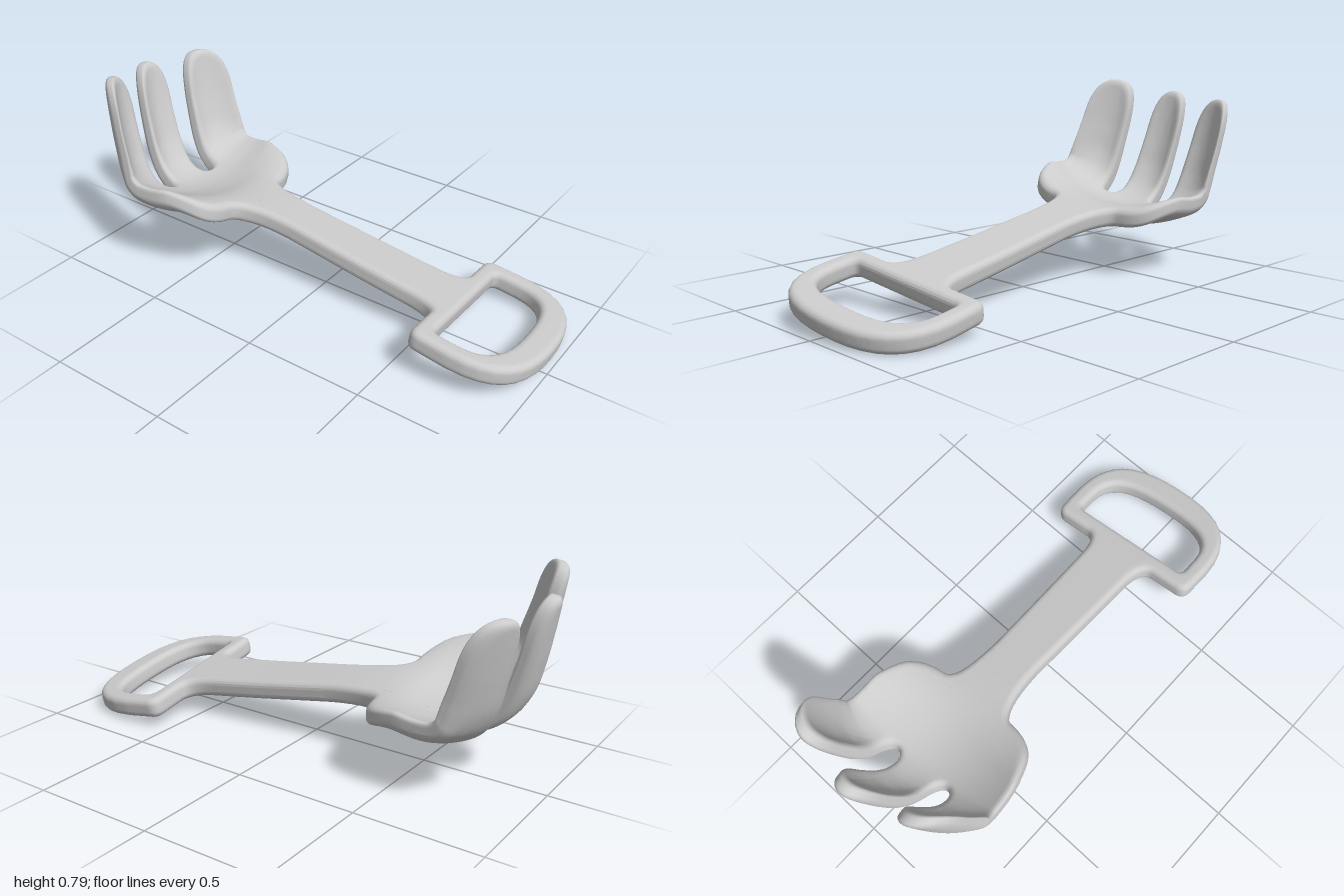
import * as THREE from 'three';
import { mergeVertices } from 'three/addons/utils/BufferGeometryUtils.js';

const TIP = 1.31; // unfolded outline runs from v = -1 (grip end) to v = TIP (finger tips)

// Right half of the unfolded outline: grip, shaft, palm, outer finger, gap, half middle finger
function outline() {
  const p = new THREE.Path();
  p.moveTo(0, -1);
  p.bezierCurveTo(0.2, -1, 0.352, -0.95, 0.352, -0.72);
  p.lineTo(0.348, -0.61);
  p.quadraticCurveTo(0.348, -0.56, 0.3, -0.56);
  p.lineTo(0.18, -0.56);
  p.quadraticCurveTo(0.125, -0.56, 0.12, -0.45);
  p.lineTo(0.107, 0.12);
  p.quadraticCurveTo(0.112, 0.36, 0.18, 0.36);
  p.bezierCurveTo(0.3, 0.37, 0.372, 0.43, 0.372, 0.6);
  p.lineTo(0.378, 0.8);
  p.lineTo(0.365, 1.13);
  p.bezierCurveTo(0.36, 1.25, 0.335, TIP, 0.272, TIP);
  p.bezierCurveTo(0.21, TIP, 0.185, 1.25, 0.182, 1.13);
  p.lineTo(0.174, 0.8);
  p.bezierCurveTo(0.174, 0.68, 0.088, 0.68, 0.088, 0.8);
  p.lineTo(0.081, 1.13);
  p.bezierCurveTo(0.078, 1.25, 0.055, TIP, 0, TIP);
  return mirrored(p);
}

// Half of the D-shaped opening in the grip
function opening() {
  const p = new THREE.Path();
  p.moveTo(0, -0.885);
  p.bezierCurveTo(0.16, -0.885, 0.275, -0.865, 0.275, -0.73);
  p.lineTo(0.275, -0.66);
  p.quadraticCurveTo(0.275, -0.632, 0.247, -0.632);
  p.lineTo(0, -0.632);
  return mirrored(p);
}

function mirrored(path) {
  const half = path.getPoints(9);
  const other = half.slice(1, -1).reverse().map(q => new THREE.Vector2(-q.x, q.y));
  return half.concat(other);
}

// Halve every edge longer than max, so that the flat faces can be bent smoothly
function subdivide(geometry, max) {
  const pos = geometry.attributes.position;
  const out = [];
  const split = (a, b, c) => {
    const ab = a.distanceToSquared(b), bc = b.distanceToSquared(c), ca = c.distanceToSquared(a);
    const longest = Math.max(ab, bc, ca);
    if (longest <= max * max) {
      out.push(a, b, c);
    } else if (longest === ab) {
      const m = a.clone().add(b).multiplyScalar(0.5);
      split(a, m, c);
      split(m, b, c);
    } else if (longest === bc) {
      split(b, c, a);
    } else {
      split(c, a, b);
    }
  };
  const at = i => new THREE.Vector3().fromBufferAttribute(pos, i);
  for (let i = 0; i < pos.count; i += 3) split(at(i), at(i + 1), at(i + 2));
  return out;
}

// Side profile (z, y) followed by the whole tool
const profile = new THREE.CatmullRomCurve3([
  [1, 0.07], [0.3, 0.179], [-0.3, 0.275], [-0.42, 0.278], [-0.52, 0.255], [-0.62, 0.24],
  [-0.72, 0.25], [-0.81, 0.3], [-0.875, 0.39], [-0.915, 0.51], [-0.943, 0.63], [-0.967, 0.757],
].map(([z, y]) => new THREE.Vector3(0, y, z)));

// Fold a point (x, v, w): follow the profile, curl the sides of the fork up, cup each finger
function bend(p) {
  const u = THREE.MathUtils.clamp((p.y + 1) / (1 + TIP), 0, 1);
  const c = profile.getPointAt(u), t = profile.getTangentAt(u);
  const step = THREE.MathUtils.smoothstep;
  const curl = 0.85 * step(p.y, 0.28, 0.52) + 0.05 * step(p.y, 0.7, 1);
  const thin = 1 - 0.3 * step(p.y, 0.6, 1.2);
  const fromAxis = Math.abs(p.x) > 0.131 ? Math.abs(p.x) - 0.272 : p.x;
  const cup = 3.5 * step(p.y, 0.72, 1) * fromAxis * fromAxis;
  const h = p.z * thin + curl * p.x * p.x + cup;
  const x = p.x - 0.01 * step(p.y, 0.2, 0.6);
  return new THREE.Vector3(x, c.y - t.z * h, c.z + t.y * h);
}

export function createModel() {
  const shape = new THREE.Shape(outline());
  shape.holes.push(new THREE.Path(opening()));
  const slab = new THREE.ExtrudeGeometry(shape, {
    depth: 0.03, bevelThickness: 0.026, bevelSize: 0.026, bevelOffset: -0.026, bevelSegments: 4,
  });
  slab.translate(0, 0, -0.015);

  // Bend the finely divided slab, with one set of smooth normals for all parts
  const flat = subdivide(slab, 0.03);
  const bent = mergeVertices(new THREE.BufferGeometry().setFromPoints(flat.map(bend)), 1e-5);
  bent.computeVertexNormals();

  // Cut it into named parts along its length
  const parts = { grip: [], shaft: [], fork: [] };
  for (let i = 0; i < flat.length; i += 3) {
    const v = (flat[i].y + flat[i + 1].y + flat[i + 2].y) / 3;
    const part = v < -0.55 ? 'grip' : v < 0.33 ? 'shaft' : 'fork';
    for (let k = i; k < i + 3; k++) parts[part].push(bent.index.getX(k));
  }
  const material = new THREE.MeshStandardMaterial({ color: 0xcccccc });
  const rake = new THREE.Group();
  rake.name = 'handRake';
  for (const [name, index] of Object.entries(parts)) {
    const mesh = new THREE.Mesh(bent.clone().setIndex(index).toNonIndexed(), material);
    mesh.name = name;
    rake.add(mesh);
  }

  // The tool lies slightly rolled and turned; rest it on the ground and centre it
  rake.rotation.set(0, 0.055, -0.12);
  const model = new THREE.Group();
  model.add(rake);
  const box = new THREE.Box3().setFromObject(model, true);
  const mid = box.getCenter(new THREE.Vector3());
  rake.position.set(-mid.x, -box.min.y, -mid.z);
  return model;
}
